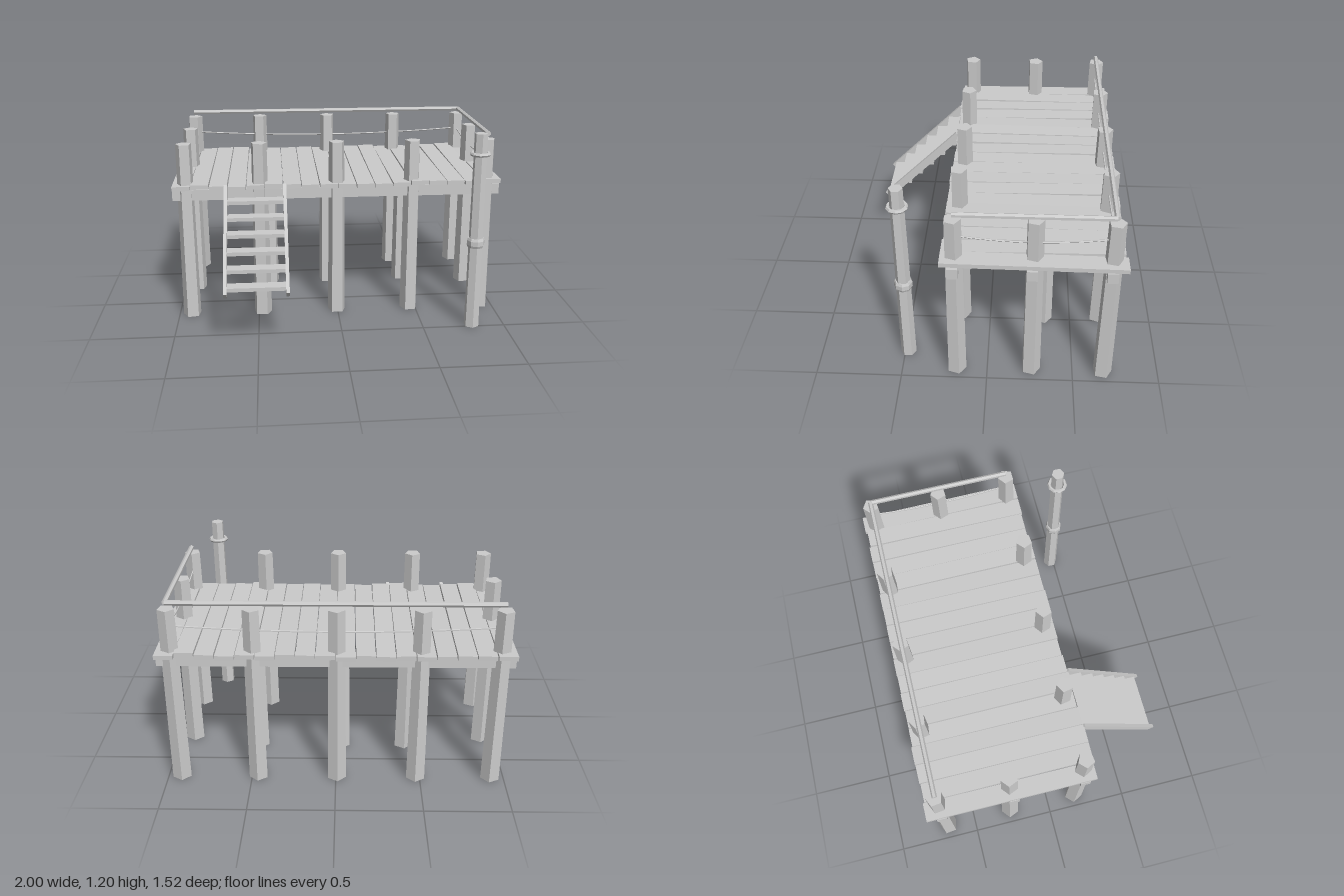
import * as THREE from 'three';

const mat = new THREE.MeshStandardMaterial({ color: 0xcccccc, flatShading: true });

export function createModel() {
  const group = new THREE.Group();

  const add = (name, geometry, x = 0, y = 0, z = 0) => {
    const mesh = new THREE.Mesh(geometry, mat);
    mesh.name = name;
    mesh.position.set(x, y, z);
    group.add(mesh);
    return mesh;
  };

  // Small seeded generator for the weathered irregularity, -1..1
  let seed = 7;
  const jitter = () => {
    seed = (seed * 16807) % 2147483647;
    return (seed / 2147483647) * 2 - 1;
  };

  // Five-sided tapered piles
  const pile = (name, x, z, height) => {
    const geo = new THREE.CylinderGeometry(0.049, 0.057, height, 5);
    geo.rotateY(Math.PI + jitter() * 0.2);
    add(name, geo, x, height / 2, z);
  };
  for (const x of [-0.92, -0.475, -0.005, 0.46, 0.92]) {
    pile('backPost', x, -0.675, 1.1);
    pile('frontPost', x, 0.18, 1.1);
  }
  for (const x of [-0.915, 0.91]) pile('sidePost', x, -0.255, 1.1);
  for (const x of [-0.42, -0.03, 0.48]) pile('innerPile', x, -0.33, 0.82);

  // Long beams under the deck
  for (const z of [0.18, -0.245, -0.67]) {
    add('beam', new THREE.BoxGeometry(2, 0.065, 0.06), 0, 0.79, z);
  }

  // Deck planks, each slightly lifted, tilted and shifted
  const planks = 18;
  const pitch = 2 / planks;
  for (let i = 0; i < planks; i++) {
    const plank = add('plank', new THREE.BoxGeometry(pitch - 0.005, 0.026, 1 + jitter() * 0.008),
      -1 + pitch * (i + 0.5), 0.841 + jitter() * 0.006, -0.25 + jitter() * 0.005);
    plank.rotation.x = jitter() * 0.012;
    plank.rotation.z = i === 0 || i === planks - 1 ? 0 : jitter() * 0.03;
  }

  // Hand rails along the back and the left side
  const backRail = add('backRail', new THREE.CylinderGeometry(0.015, 0.015, 1.85, 6), 0, 1.13, -0.67);
  backRail.rotation.z = Math.PI / 2;
  const sideRail = add('sideRail', new THREE.CylinderGeometry(0.015, 0.015, 0.85, 6), 0.925, 1.13, -0.245);
  sideRail.rotation.x = Math.PI / 2;

  // Sagging ropes below the rails
  const rope = (name, a, b) => {
    const points = [];
    for (let i = 0; i <= 8; i++) {
      const t = i / 8;
      const p = new THREE.Vector3().lerpVectors(a, b, t);
      p.y -= 0.13 * t * (1 - t);
      points.push(p);
    }
    add(name, new THREE.TubeGeometry(new THREE.CatmullRomCurve3(points), 16, 0.005, 5));
  };
  rope('backRope', new THREE.Vector3(-0.92, 0.993, -0.67), new THREE.Vector3(0.92, 0.993, -0.67));
  rope('sideRope', new THREE.Vector3(0.92, 0.993, -0.67), new THREE.Vector3(0.92, 0.993, 0.18));

  // Free-standing mooring pole with a ring and a band
  const px = 0.8, pz = 0.48;
  add('mooringPole', new THREE.CylinderGeometry(0.039, 0.046, 1.2, 6), px, 0.6, pz);
  const ring = add('poleRing', new THREE.TorusGeometry(0.05, 0.012, 6, 10), px, 1.08, pz);
  ring.rotation.x = Math.PI / 2;
  const bandProfile = [[0.04, 0.512], [0.047, 0.512], [0.053, 0.527], [0.053, 0.555], [0.047, 0.57], [0.04, 0.57]];
  add('poleBand', new THREE.LatheGeometry(bandProfile.map(([r, y]) => new THREE.Vector2(r, y)), 8), px, 0, pz);

  // Stair leaning on the front edge
  const low = new THREE.Vector2(0.743, 0.355);
  const high = new THREE.Vector2(0.243, 0.848);
  const run = high.clone().sub(low);
  for (const x of [-0.677, -0.325]) {
    const stringer = add('stairStringer', new THREE.BoxGeometry(0.02, 0.05, run.length()),
      x, (low.y + high.y) / 2, (low.x + high.x) / 2);
    stringer.rotation.x = Math.atan2(run.y, -run.x);
  }
  for (let i = 0; i < 6; i++) {
    add('stairTread', new THREE.BoxGeometry(0.35, 0.022, 0.078), -0.501, 0.386 + 0.0775 * i, 0.694 - 0.079 * i);
  }

  return group;
}
